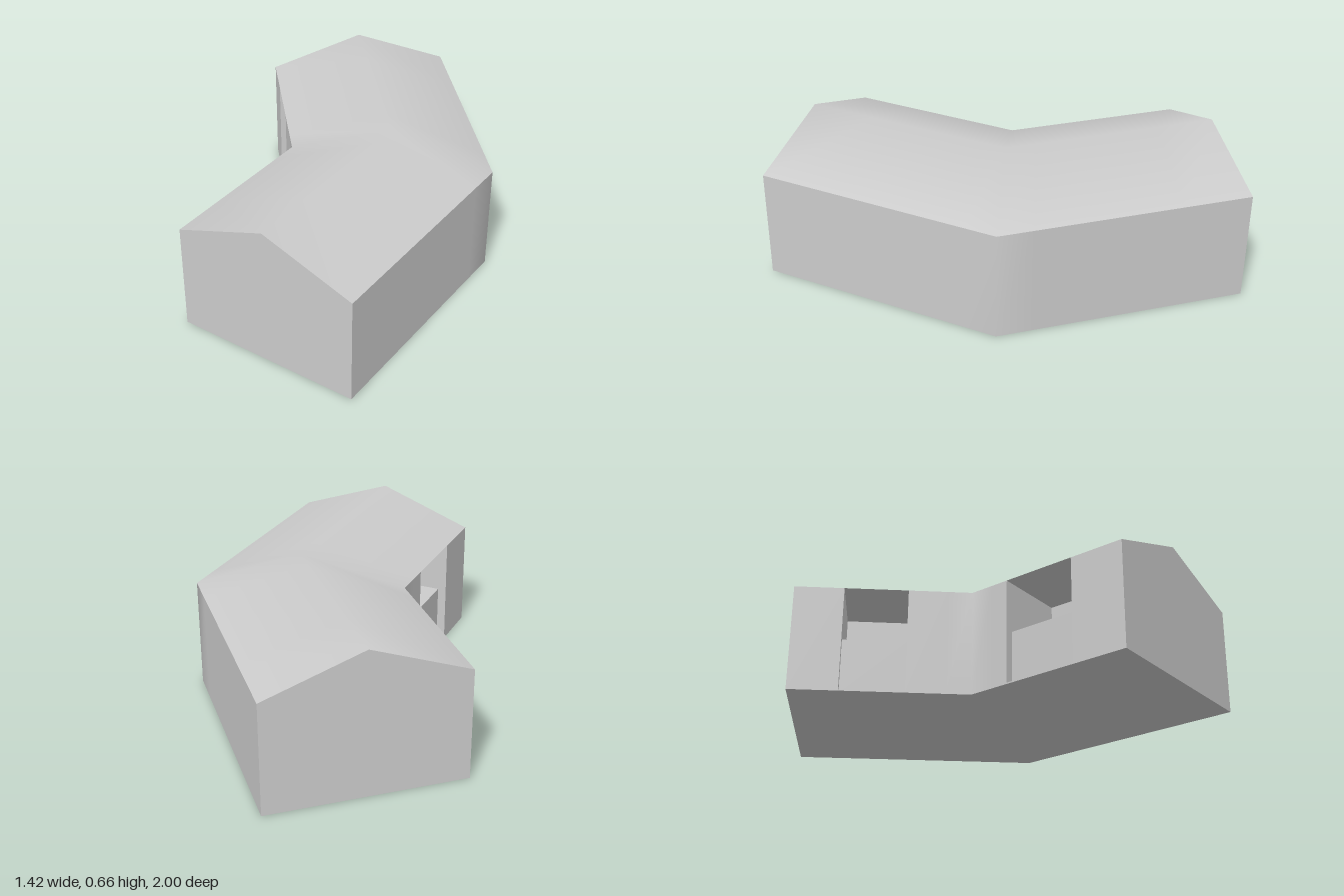
import * as THREE from 'three';
import { toCreasedNormals } from 'three/addons/utils/BufferGeometryUtils.js';

const EAVE = 0.505, RIDGE = 0.663;
const V = (x, y, z) => new THREE.Vector3(x, y, z);

// Plan corners on the inner and outer side of the bend, from back to front
const inner = [V(-0.17, 0, -1), V(-0.17, 0, -0.19), V(-0.713, 0, 0.41)];
const outer = [V(0.71, 0, -1), V(0.71, 0, 0.15), V(-0.06, 0, 1)];

// Stations along each wing, with the pair between which its alcove opens
const wings = [
  { stops: [0, 0.28, 0.64, 0.86, 1], open: 1 },
  { stops: [0, 0.14, 0.244, 0.677, 1], open: 2 },
];

const lift = (p, y) => V(p.x, y, p.z);

// Collects convex polygons as triangle fans
function makeMesh(name, polygons, material) {
  const points = [];
  for (const p of polygons) {
    for (let i = 1; i < p.length - 1; i++) points.push(p[0], p[i], p[i + 1]);
  }
  const geometry = new THREE.BufferGeometry().setFromPoints(points);
  const mesh = new THREE.Mesh(toCreasedNormals(geometry, 0.8), material);
  mesh.name = name;
  return mesh;
}

// Gabled cross-section of a wing at t, from inner foot over the ridge to outer foot
function section(w, t) {
  const a = inner[w].clone().lerp(inner[w + 1], t);
  const b = outer[w].clone().lerp(outer[w + 1], t);
  const mid = a.clone().lerp(b, 0.5);
  return [a, lift(a, EAVE), lift(mid, RIDGE), lift(b, EAVE), b];
}

// Recess with a low counter, set into the inner wall between t0 and t1
function alcove(w, t0, t1) {
  const start = inner[w], end = inner[w + 1];
  const along = end.clone().sub(start).normalize();
  const into = V(along.z, 0, -along.x);
  const toe = 0.04, deep = 0.345, top = 0.265, floor = 0.006;
  const at = (t, d, y) => lift(start.clone().lerp(end, t).addScaledVector(into, d), y);
  const profile = [[0, 0], [0, floor], [toe, floor], [toe, top], [deep, top], [deep, EAVE], [0, EAVE]];
  const polygons = [];
  for (let i = 0; i < profile.length - 1; i++) {
    const p = profile[i], q = profile[i + 1];
    polygons.push([at(t0, ...p), at(t1, ...p), at(t1, ...q), at(t0, ...q)]);
  }
  // Jambs below and above the counter top
  for (const [d, y0, y1] of [[toe, floor, top], [deep, top, EAVE]]) {
    const jamb = t => [at(t, 0, y0), at(t, d, y0), at(t, d, y1), at(t, 0, y1)];
    polygons.push(jamb(t0), jamb(t1).reverse());
  }
  return polygons;
}

export function createModel() {
  const group = new THREE.Group();
  group.name = 'bentBuilding';
  const material = new THREE.MeshStandardMaterial({ color: 0xcccccc });
  const walls = [], roof = [], base = [];

  wings.forEach(({ stops, open }, w) => {
    for (let i = 0; i < stops.length - 1; i++) {
      const s0 = section(w, stops[i]), s1 = section(w, stops[i + 1]);
      const strip = k => {
        const n = (k + 1) % 5;
        return [s0[k], s1[k], s1[n], s0[n]];
      };
      if (i !== open) walls.push(strip(0));
      roof.push(strip(1), strip(2));
      walls.push(strip(3));
      base.push(strip(4));
    }
    group.add(makeMesh(w ? 'frontAlcove' : 'backAlcove',
      alcove(w, stops[open], stops[open + 1]), material));
  });

  // Gable ends
  walls.push(section(0, 0), section(1, 1).reverse());

  group.add(makeMesh('walls', walls, material));
  group.add(makeMesh('roof', roof, material));
  group.add(makeMesh('base', base, material));
  return group;
}
